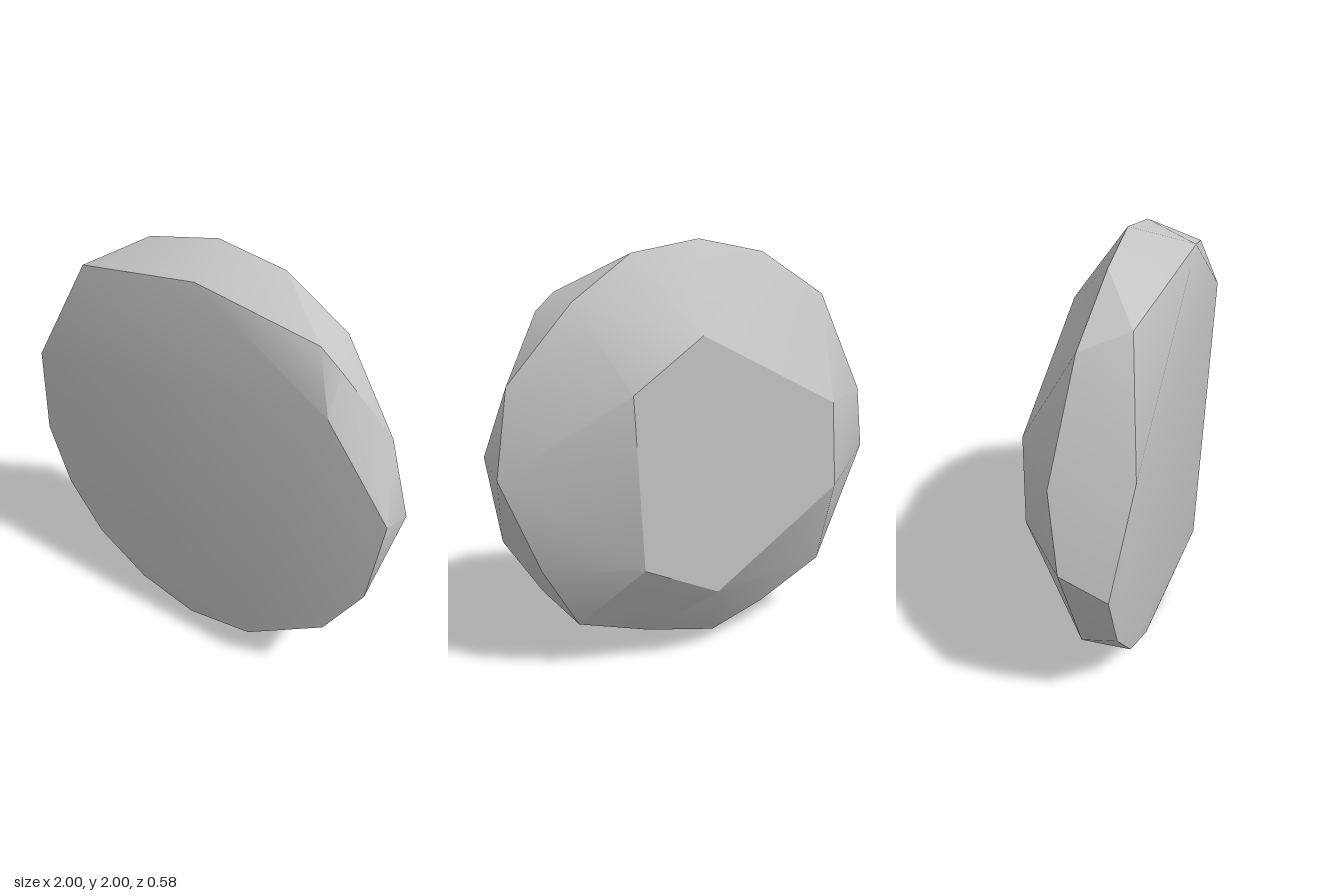
import * as THREE from 'three';
import { ConvexGeometry } from 'three/addons/geometries/ConvexGeometry.js';
import { toCreasedNormals } from 'three/addons/utils/BufferGeometryUtils.js';

// Irregular rings of a rough-hewn round slab, each counter-clockwise from +x
const frontRing = [
  [1, 1.06, 0.2], [0.74, 1.52, 0.29], [0.73, 1.69, 0.2], [0.64, 1.77, 0.21],
  [0.1, 1.92, 0.29], [-0.61, 1.8, 0.205], [-0.87, 1.31, 0.29], [-0.98, 0.8, 0.21],
  [-0.86, 0.49, 0.21], [-0.65, 0.24, 0.21], [-0.35, 0.07, 0.21], [-0.02, 0, 0.21],
  [0.4, 0.17, 0.29], [0.76, 0.36, 0.21], [0.94, 0.65, 0.2],
];
const middleRing = [
  [1, 1, 0.01], [0.92, 1.39, 0.07], [0.64, 1.74, -0.01], [0.35, 1.94, 0.01],
  [0.01, 2, 0.01], [-0.35, 1.94, 0.03], [-0.7, 1.73, 0.01], [-0.91, 1.24, -0.05],
  [-1, 0.91, 0.01], [-0.72, 0.31, 0], [-0.36, 0.14, 0], [-0.04, 0.07, -0.04],
  [0.32, 0.155, -0.04], [0.66, 0.25, 0], [0.84, 0.57, -0.04],
];
const backRing = [
  [0.49, 1.37, -0.29], [0.155, 1.6, -0.29], [-0.56, 1.24, -0.29],
  [-0.59, 0.82, -0.29], [0.076, 0.4, -0.29], [0.45, 0.58, -0.29],
];

export function createModel() {
  const group = new THREE.Group();
  group.name = 'stone';

  const stoneGrey = new THREE.MeshStandardMaterial({ color: 0xc4c4c4 });
  stoneGrey.name = 'stone grey';

  // Faceted skin over the rings, soft across shallow edges and sharp across steep ones
  const points = [...frontRing, ...middleRing, ...backRing].map((p) => new THREE.Vector3(...p));
  const geometry = toCreasedNormals(new ConvexGeometry(points), THREE.MathUtils.degToRad(29.5));

  const slab = new THREE.Mesh(geometry, stoneGrey);
  slab.name = 'stoneSlab';
  group.add(slab);
  return group;
}
